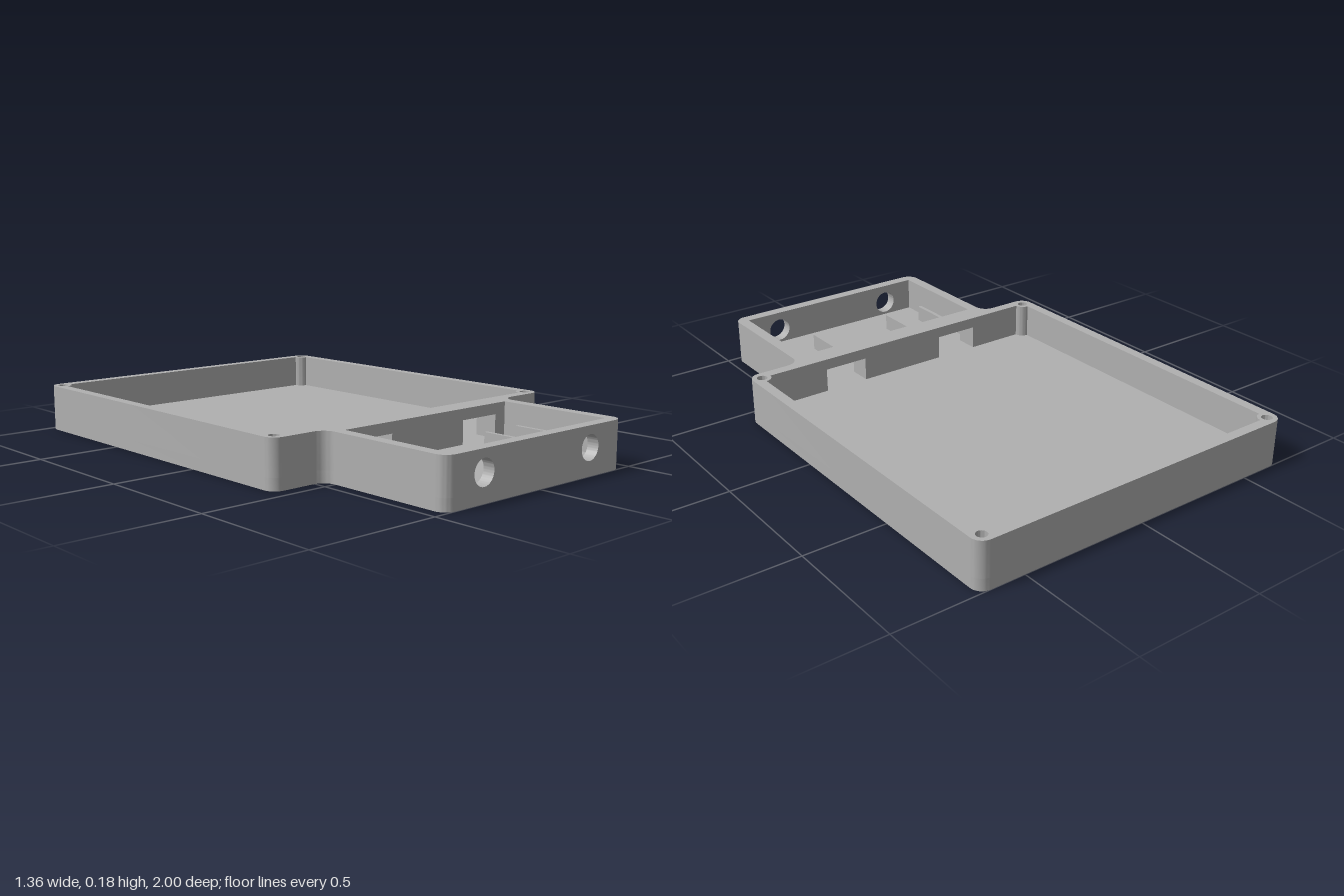
import * as THREE from 'three';
import { toCreasedNormals } from 'three/addons/utils/BufferGeometryUtils.js';

const FLOOR = 0.045, TOP = 0.18;
const BACK = -0.96, MID = 0.408, MID_FRONT = 0.5, FRONT = 0.955;
const PORTS = [-0.278, 0.267];

// points [x, z] along an arc, angles in degrees
function arc(cx, cz, r, from, to, n = 10) {
  return Array.from({ length: n + 1 }, (_, i) => {
    const a = THREE.MathUtils.degToRad(from + (to - from) * i / n);
    return [cx + r * Math.cos(a), cz + r * Math.sin(a)];
  });
}
const mirrored = (pts) => pts.map(([x, z]) => [-x, z]).reverse();

function circle(x, y, r) {
  return new THREE.Path().absarc(x, y, r, 0, Math.PI * 2, false);
}

// extrude a plan outline upwards from y0 to y1, with the four screw holes
function plan(pts, y0, y1) {
  const shape = new THREE.Shape(pts.map(([x, z]) => new THREE.Vector2(x, -z)));
  for (const x of [-0.64, 0.64])
    for (const z of [BACK, MID]) shape.holes.push(circle(x, -z, 0.02));
  const g = new THREE.ExtrudeGeometry(shape, { depth: y1 - y0, bevelEnabled: false, curveSegments: 24 });
  g.rotateX(-Math.PI / 2).translate(0, y0, 0);
  return toCreasedNormals(g, 0.6);
}

// extrude an upright wall from z0 to z1
function wall(shape, z0, z1) {
  const g = new THREE.ExtrudeGeometry(shape, { depth: z1 - z0, bevelEnabled: false, curveSegments: 32 });
  g.translate(0, 0, z0);
  return toCreasedNormals(g, 0.6);
}

export function createModel() {
  const group = new THREE.Group();
  const grey = new THREE.MeshStandardMaterial({ color: 0xb0b0b0 });
  grey.name = 'grey plastic';
  const add = (name, geometry) => {
    const mesh = new THREE.Mesh(geometry, grey);
    mesh.name = name;
    group.add(mesh);
    return mesh;
  };

  // outer outline, right half from front to back
  const outer = [
    ...arc(0.41, 0.955, 0.045, 90, 0),
    ...arc(0.505, 0.5, 0.05, 180, 270),
    ...arc(0.635, 0.405, 0.045, 90, 0),
    ...arc(0.635, -0.955, 0.045, 0, -90),
  ];
  // inner outline, right half from back to front, rounded around the screw bosses
  const inner = [
    ...arc(0.64, BACK, 0.035, 180, 90),
    ...arc(0.64, MID, 0.035, 270, 180),
    [0.41, MID], [0.41, FRONT],
  ];
  // left inner start closes the open front of the frame
  const outline = [...outer, ...mirrored(outer)];
  add('floor', plan(outline, 0, FLOOR));
  add('outerFrame', plan([...outline, ...mirrored(inner), ...inner], FLOOR, TOP));

  // front wall with two round ports
  const front = new THREE.Shape([
    new THREE.Vector2(-0.41, FLOOR), new THREE.Vector2(0.41, FLOOR),
    new THREE.Vector2(0.41, TOP), new THREE.Vector2(-0.41, TOP),
  ]);
  for (const x of PORTS) front.holes.push(circle(x, 0.102, 0.047));
  add('frontWall', wall(front, FRONT, 1));

  // dividing wall with two passages at floor level
  const divider = new THREE.Shape();
  divider.moveTo(-0.41, FLOOR);
  for (const x of PORTS) {
    divider.lineTo(x - 0.09, FLOOR);
    divider.lineTo(x - 0.09, 0.137);
    divider.lineTo(x + 0.09, 0.137);
    divider.lineTo(x + 0.09, FLOOR);
  }
  divider.lineTo(0.41, FLOOR);
  divider.lineTo(0.41, TOP);
  divider.lineTo(-0.41, TOP);
  add('dividingWall', wall(divider, MID, MID_FRONT));

  // pairs of holding ribs behind each port
  for (const x of PORTS)
    for (const side of [-1, 1])
      add('holdingRib', new THREE.BoxGeometry(0.016, 0.065, 0.195))
        .position.set(x + side * 0.087, FLOOR + 0.0325, 0.705);

  return group;
}
